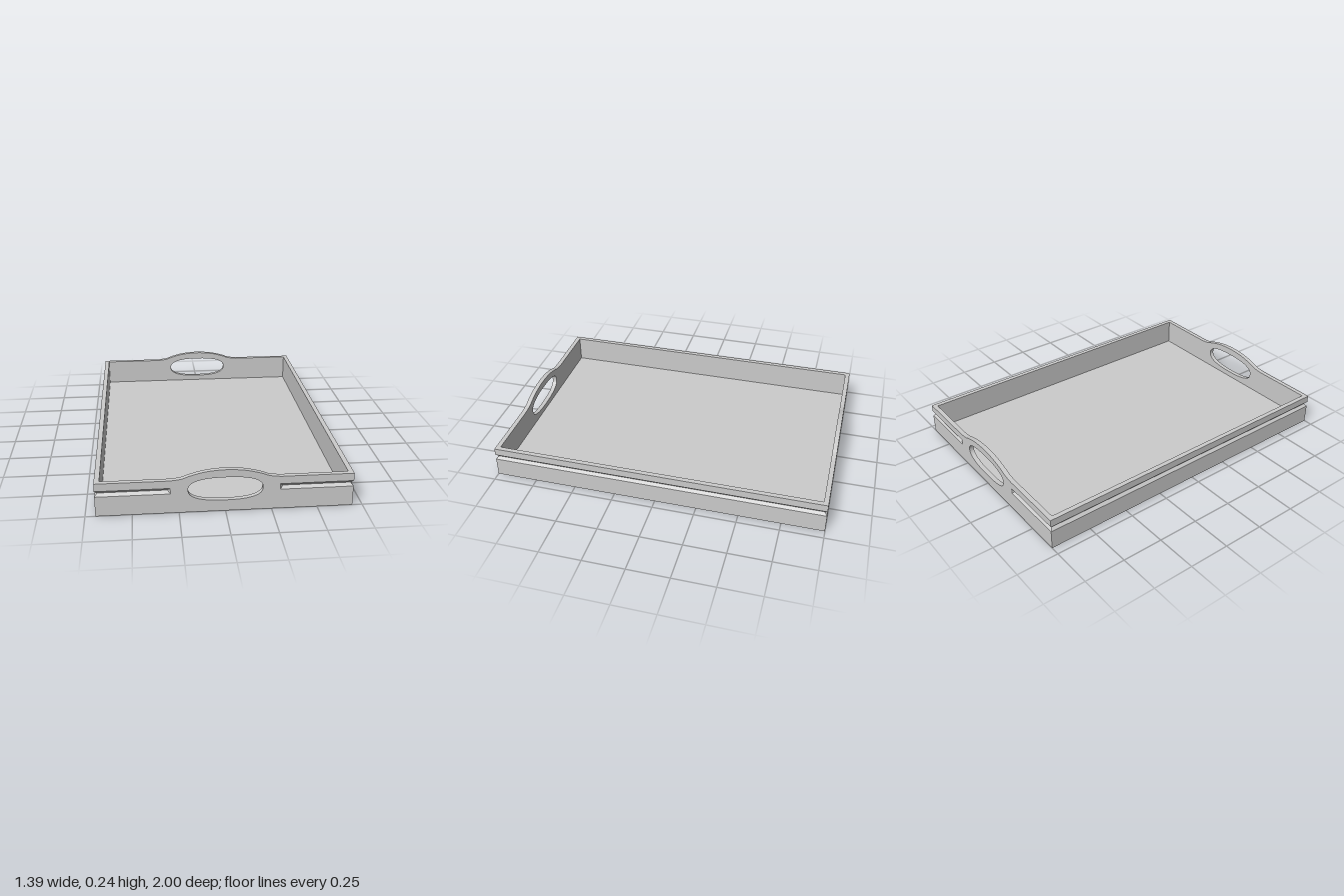
import * as THREE from 'three';
import { toCreasedNormals } from 'three/addons/utils/BufferGeometryUtils.js';

const HX = 0.695, HZ = 1, WALL = 0.028, RIM = 0.192;
const GRIP = 0.295; // half width of the handle section
const GROOVE = 0.015, FLOOR = 0.03;

// U-shaped half of the rim: a grooved profile swept round two mitred corners
function rimGeometry() {
  const stations = [ // x, z, inward x, inward z, groove depth
    [GRIP, HZ, 0, -1, 0],
    [GRIP + GROOVE, HZ, 0, -1, GROOVE],
    [HX, HZ, -1, -1, GROOVE],
    [HX, -HZ, -1, 1, GROOVE],
    [GRIP + GROOVE, -HZ, 0, 1, GROOVE],
    [GRIP, -HZ, 0, 1, 0],
  ];
  const sections = stations.map(([x, z, nx, nz, depth]) =>
    [[0, 0], [0, 0.115], [depth, 0.1315], [0, 0.148], [0, RIM], [WALL, RIM], [WALL, 0]]
      .map(([d, y]) => new THREE.Vector3(x + nx * d, y, z + nz * d)));
  const pts = [];
  for (let i = 0; i < sections.length - 1; i++) {
    const n = sections[i].length;
    for (let j = 0; j < n; j++) {
      const k = (j + 1) % n;
      const a = sections[i][j], b = sections[i + 1][j];
      const c = sections[i + 1][k], d = sections[i][k];
      // the longer diagonal gives the groove its hipped end
      if (a.distanceTo(c) >= b.distanceTo(d)) pts.push(a, b, c, a, c, d);
      else pts.push(a, b, d, b, c, d);
    }
  }
  const geo = new THREE.BufferGeometry().setFromPoints(pts);
  geo.computeVertexNormals();
  return geo;
}

// Raised centre of an end wall with an oval hand hole
function handleGeometry() {
  const shape = new THREE.Shape();
  shape.moveTo(-GRIP, 0);
  shape.lineTo(GRIP, 0);
  shape.lineTo(GRIP, RIM);
  const half = [[0.235, 0.2], [0.19, 0.216], [0.105, 0.237]];
  shape.splineThru([
    ...half.map(([x, y]) => new THREE.Vector2(x, y)),
    new THREE.Vector2(0, 0.245),
    ...half.slice().reverse().map(([x, y]) => new THREE.Vector2(-x, y)),
    new THREE.Vector2(-GRIP, RIM),
  ]);
  shape.closePath();

  const oval = [];
  const power = (v) => Math.sign(v) * Math.pow(Math.abs(v), 2 / 2.5);
  for (let i = 0; i < 48; i++) {
    const t = -i / 48 * Math.PI * 2;
    oval.push(new THREE.Vector2(0.201 * power(Math.cos(t)), 0.1325 + 0.068 * power(Math.sin(t))));
  }
  shape.holes.push(new THREE.Path(oval));

  const geo = new THREE.ExtrudeGeometry(shape, { depth: WALL, bevelEnabled: false, curveSegments: 5 });
  geo.translate(0, 0, HZ - WALL);
  return toCreasedNormals(geo, 0.6);
}

export function createModel() {
  const tray = new THREE.Group();
  tray.name = 'servingTray';
  const material = new THREE.MeshStandardMaterial({ color: 0xcccccc });
  const add = (name, geometry) => {
    const mesh = new THREE.Mesh(geometry, material);
    mesh.name = name;
    tray.add(mesh);
    return mesh;
  };

  // Base panel between the walls
  add('floor', new THREE.BoxGeometry(2 * (HX - WALL), FLOOR, 2 * (HZ - WALL)))
    .position.y = FLOOR / 2;

  // Grooved rim halves and the two handles, each pair turned about the centre
  const rim = rimGeometry(), handle = handleGeometry();
  add('leftRim', rim);
  add('rightRim', rim).rotation.y = Math.PI;
  add('frontHandle', handle);
  add('backHandle', handle).rotation.y = Math.PI;
  return tray;
}
